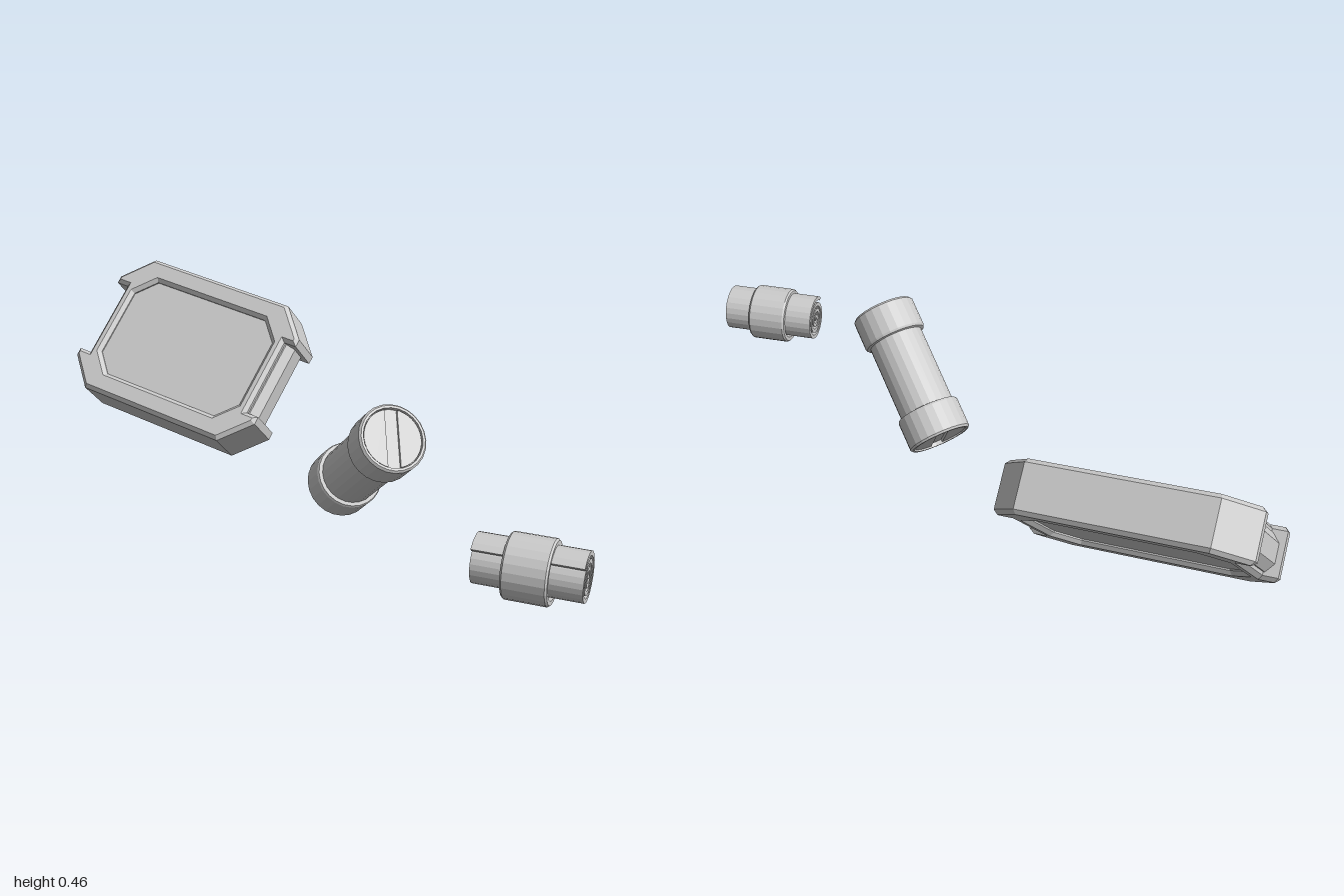
import * as THREE from 'three';

const material = new THREE.MeshStandardMaterial({ color: 0xcccccc, flatShading: true });

function add(parent, name, geometry) {
  const mesh = new THREE.Mesh(geometry, material);
  mesh.name = name;
  parent.add(mesh);
  return mesh;
}

// Group at a centre, with local x along X and local y as near to Y as a right angle allows
function orientedGroup(name, centre, X, Y) {
  const x = new THREE.Vector3(...X).normalize();
  const z = x.clone().cross(new THREE.Vector3(...Y)).normalize();
  const y = z.clone().cross(x);
  const group = new THREE.Group();
  group.name = name;
  group.quaternion.setFromRotationMatrix(new THREE.Matrix4().makeBasis(x, y, z));
  group.position.set(...centre);
  return group;
}

// Extrusion centred on local z
function slab(shape, thickness, bevel = 0) {
  const depth = thickness - 2 * bevel;
  const geometry = new THREE.ExtrudeGeometry(shape, {
    depth, bevelEnabled: bevel > 0, bevelThickness: bevel, bevelSize: bevel,
    bevelOffset: -bevel, bevelSegments: 1, curveSegments: 12,
  });
  return geometry.translate(0, 0, -depth / 2);
}

const points = (list) => list.map(([x, y]) => new THREE.Vector2(x, y));

// Octagonal case with recessed panels and notched ends
function createCase() {
  const group = orientedGroup('case', [-0.65, 0.24, 0], [0.932, -0.116, -0.345], [-0.165, 0.711, -0.683]);
  const A = 0.333, B = 0.227, cut = 0.086, notch = 0.04, notchHalf = 0.118, thickness = 0.14;

  // Quarter outline mirrored into all four corners
  const half = [[A - notch, notchHalf], [A, notchHalf], [A, B - cut], [A - cut, B]];
  const right = [...half.map(([x, y]) => [x, -y]).reverse(), ...half];
  const frame = new THREE.Shape(points([...right, ...right.map(([x, y]) => [-x, -y])]));

  const octagon = (a, b, c) => points([
    [a, -b + c], [a, b - c], [a - c, b], [-a + c, b],
    [-a, b - c], [-a, -b + c], [-a + c, -b], [a - c, -b],
  ]);
  frame.holes.push(new THREE.Path(octagon(0.258, 0.162, 0.058).reverse()));
  add(group, 'caseFrame', slab(frame, thickness, 0.011));
  add(group, 'casePanels', slab(new THREE.Shape(octagon(0.27, 0.174, 0.062)), thickness - 0.03));

  // Bevelled ridge lying in each end notch
  const ridge = new THREE.Shape(points([
    [-0.02, -0.05], [0.004, -0.05], [0.024, -0.026], [0.024, 0.026], [0.004, 0.05], [-0.02, 0.05],
  ]));
  for (const side of [0, 1]) {
    const holder = new THREE.Group();
    holder.rotation.z = side * Math.PI;
    const bar = add(holder, 'endRidge', slab(ridge, 2 * notchHalf + 0.004).rotateX(Math.PI / 2));
    bar.position.x = A - notch;
    group.add(holder);
  }
  return group;
}

// Capped canister with a slot across each end
function createCanister() {
  const axis = [0.752, 0.64, 0.159];
  const group = orientedGroup('canister', [0.242, 0.227, 0.042], [-0.08, 0.107, -0.05], axis);
  const lower = [
    [0, -0.192], [0.078, -0.192], [0.079, -0.204], [0.085, -0.204],
    [0.09, -0.198], [0.09, -0.118], [0.087, -0.112], [0.078, -0.11],
  ];
  const upper = lower.map(([r, y]) => [r, -y]).reverse();
  add(group, 'canisterBody', new THREE.LatheGeometry(points([...lower, ...upper]), 24));

  // Half discs that leave the slot between them
  const r = 0.076, start = Math.asin(0.017 / r);
  for (const turn of [0, Math.PI]) {
    const halfDisc = new THREE.Shape();
    halfDisc.absarc(0, 0, r, start, Math.PI - start, false);
    add(group, 'endPlate', slab(halfDisc, 0.4).rotateZ(turn).rotateX(-Math.PI / 2));
  }
  return group;
}

// Rolled sheet held by a collar
function createScroll() {
  const group = orientedGroup('scroll', [0.845, 0.17, 0.023], [-0.53, 0, -0.848], [0, 1, 0]);
  const turns = 3.4, steps = 82, outerRadius = 0.07, pitch = 0.018, sheet = 0.011;
  const outer = [], inner = [];
  for (let i = 0; i <= steps; i++) {
    const t = (turns * i) / steps;
    const angle = 0.75 * Math.PI - t * 2 * Math.PI;
    const r = outerRadius - pitch * t;
    const ri = Math.max(r - sheet, 0.001);
    outer.push([r * Math.cos(angle), r * Math.sin(angle)]);
    inner.push([ri * Math.cos(angle), ri * Math.sin(angle)]);
  }
  add(group, 'rolledSheet', slab(new THREE.Shape(points([...outer, ...inner.reverse()])), 0.268));

  const collar = [
    [0.066, -0.056], [0.077, -0.056], [0.081, -0.051], [0.081, 0.051],
    [0.077, 0.056], [0.066, 0.056], [0.066, -0.056],
  ];
  add(group, 'collar', new THREE.LatheGeometry(points(collar), 24).rotateX(Math.PI / 2));
  return group;
}

export function createModel() {
  const model = new THREE.Group();
  model.name = 'containers';
  model.add(createCase(), createCanister(), createScroll());
  return model;
}
